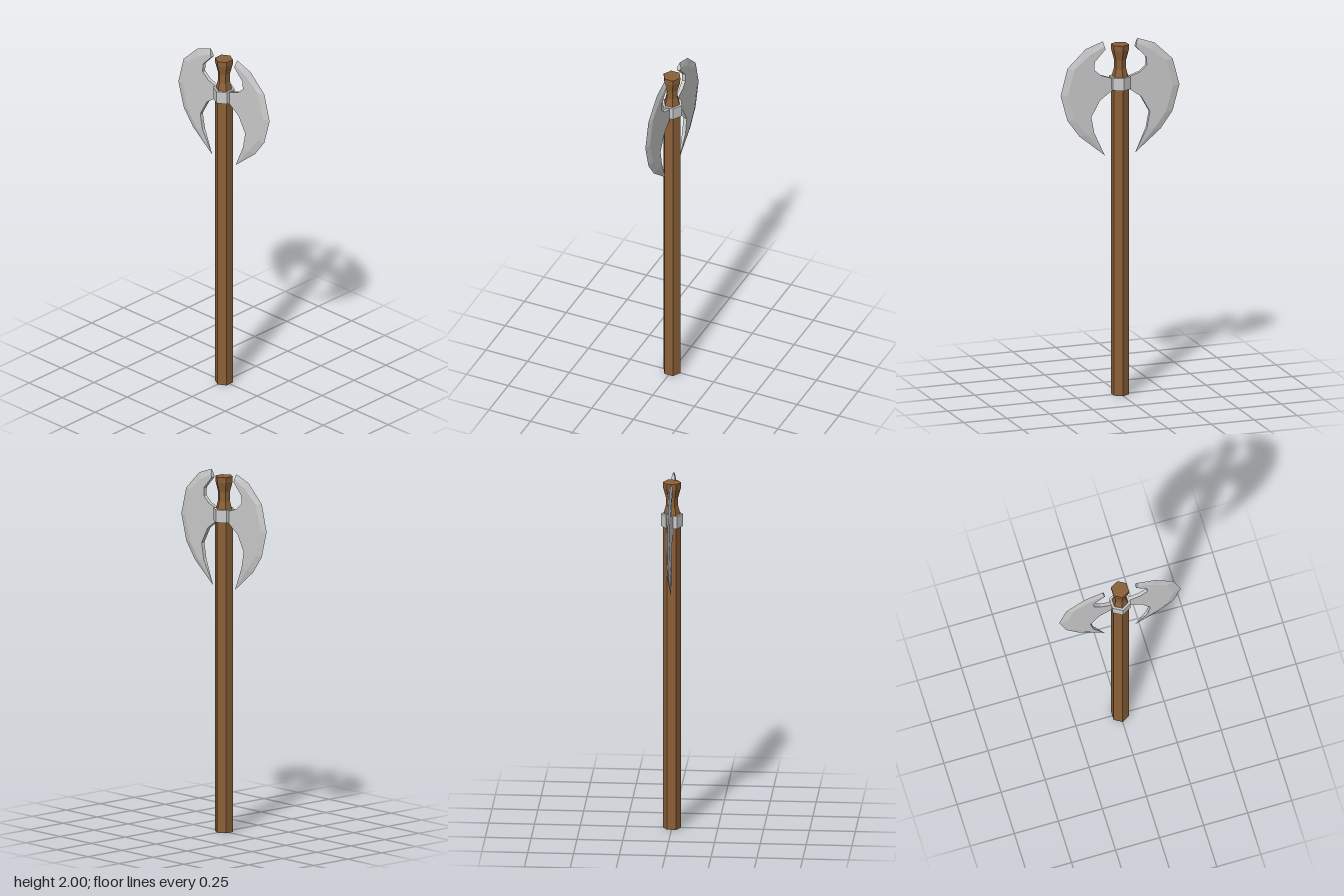
import * as THREE from 'three';

const wood = new THREE.MeshStandardMaterial({ color: 0x8b6038, flatShading: true });
const steel = new THREE.MeshStandardMaterial({ color: 0xcccccc, flatShading: true });

// Blade stations from top horn to lower tip: inner x, y, outer x, y, half thickness
const stations = [
  [0.088, 1.955, 0.1, 2.0, 0.01],
  [0.15, 1.89, 0.2, 1.965, 0.01],
  [0.152, 1.845, 0.305, 1.865, 0.01],
  [0.112, 1.81, 0.32, 1.81, 0.01],
  [0.045, 1.787, 0.334, 1.755, 0.01],
  [0.045, 1.723, 0.345, 1.715, 0.01],
  [0.12, 1.67, 0.325, 1.642, 0.01],
  [0.17, 1.58, 0.305, 1.57, 0.01],
  [0.153, 1.49, 0.235, 1.475, 0.01],
  [0.088, 1.355, 0.088, 1.355, 0],
];

// Each station is a five-cornered section: thick inner edge, ridge, sharp outer edge
function bladeGeometry() {
  const positions = [], index = [], n = 5;
  for (const [ix, iy, ox, oy, t] of stations) {
    const length = Math.hypot(ox - ix, oy - iy);
    const k = length > 0 ? Math.min(0.04, length * 0.6) / length : 0;
    const rx = ox + (ix - ox) * k, ry = oy + (iy - oy) * k;
    positions.push(ix, iy, t, rx, ry, t, ox, oy, 0, rx, ry, -t, ix, iy, -t);
  }
  for (let s = 0; s < stations.length - 1; s++) {
    for (let j = 0; j < n; j++) {
      const a = s * n + j, b = s * n + (j + 1) % n;
      const c = a + n, d = b + n;
      if (s < stations.length - 2) index.push(a, c, d, a, d, b);
      else index.push(a, c, b); // closes to the lower tip
    }
  }
  for (let j = 1; j < n - 1; j++) index.push(0, j, j + 1); // end of the top horn
  const geometry = new THREE.BufferGeometry();
  geometry.setAttribute('position', new THREE.Float32BufferAttribute(positions, 3));
  geometry.setIndex(index);
  const flat = geometry.toNonIndexed();
  flat.computeVertexNormals();
  return flat;
}

export function createModel() {
  const model = new THREE.Group();
  model.name = 'doubleAxe';

  const add = (name, geometry, material) => {
    const mesh = new THREE.Mesh(geometry, material);
    mesh.name = name;
    model.add(mesh);
    return mesh;
  };

  // Six-sided shaft with a pinched neck and flared pommel
  const profile = [
    [0, 0], [0.05, 0], [0.05, 1.78], [0.034, 1.84],
    [0.034, 1.89], [0.049, 1.945], [0.05, 1.975], [0, 1.975],
  ].map(([r, y]) => new THREE.Vector2(r, y));
  add('handle', new THREE.LatheGeometry(profile, 6), wood);

  // Metal band that holds the blades
  add('collar', new THREE.CylinderGeometry(0.06, 0.06, 0.07, 6), steel).position.y = 1.76;

  // Two matching blades, the second turned half round
  const blade = bladeGeometry();
  add('leftBlade', blade, steel);
  add('rightBlade', blade, steel).rotation.y = Math.PI;

  return model;
}
